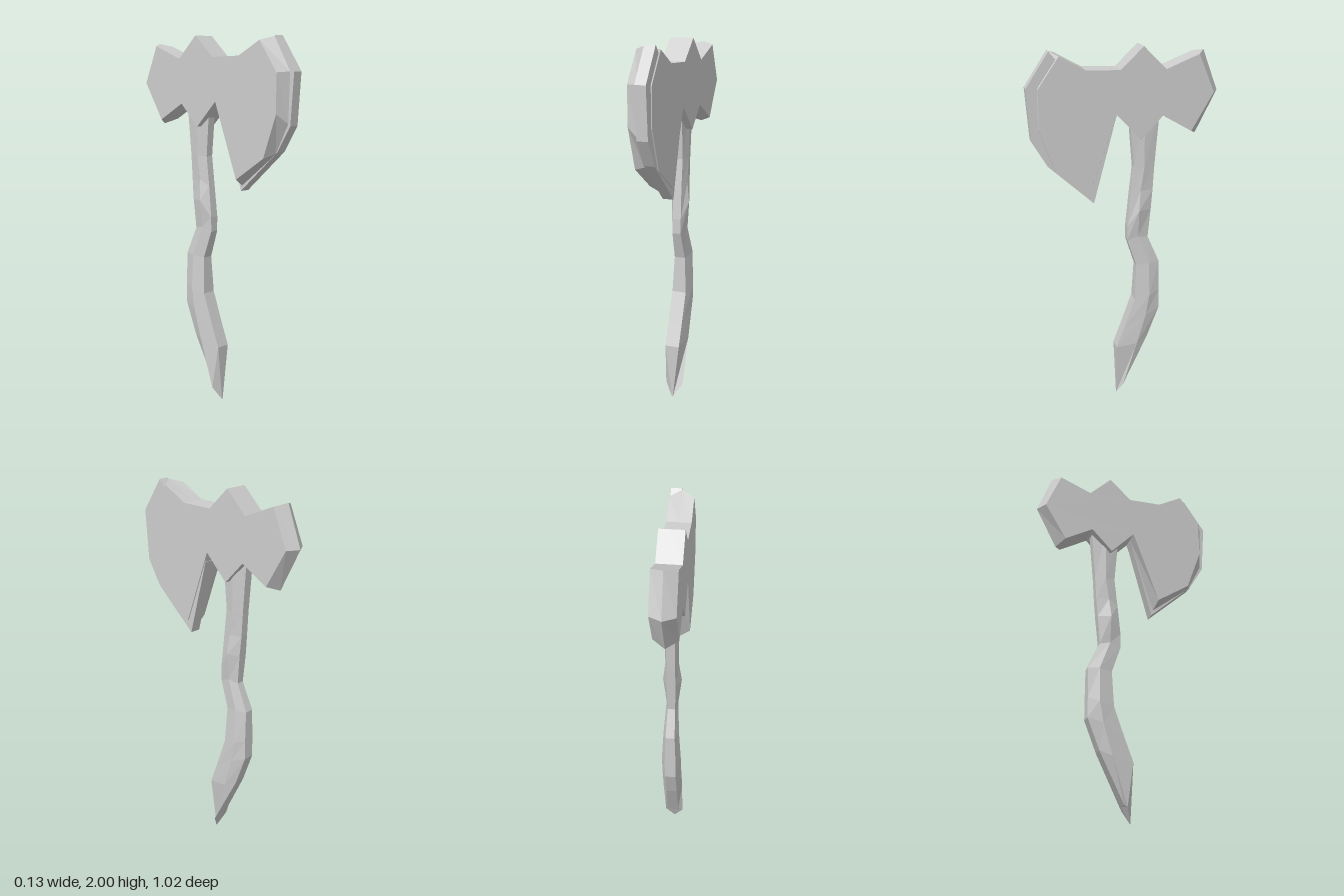
import * as THREE from 'three';

// Faceted solid through matching rings; rings run counter-clockwise about the stacking axis.
// flat(p) projects a ring point to 2D for filling the two ends.
function loft(rings, flat) {
  const pos = [];
  const tri = (a, b, c) => pos.push(...a, ...b, ...c);
  const n = rings[0].length;
  for (let s = 0; s < rings.length - 1; s++) {
    const a = rings[s], b = rings[s + 1];
    for (let i = 0; i < n; i++) {
      const j = (i + 1) % n;
      tri(a[i], a[j], b[j]);
      tri(a[i], b[j], b[i]);
    }
  }
  const cap = (ring, flip) => {
    const pts = ring.map((p) => new THREE.Vector2(...flat(p)));
    for (const [a, b, c] of THREE.ShapeUtils.triangulateShape(pts, [])) {
      if (flip) tri(ring[c], ring[b], ring[a]);
      else tri(ring[a], ring[b], ring[c]);
    }
  };
  cap(rings[0], true);
  cap(rings[rings.length - 1], false);
  const g = new THREE.BufferGeometry();
  g.setAttribute('position', new THREE.Float32BufferAttribute(pos, 3));
  g.computeVertexNormals();
  return g;
}

export function createModel() {
  const group = new THREE.Group();
  const grey = new THREE.MeshStandardMaterial({ color: 0xcccccc, flatShading: true, side: THREE.DoubleSide });
  grey.name = 'light grey';
  const add = (name, geometry) => {
    const mesh = new THREE.Mesh(geometry, grey);
    mesh.name = name;
    group.add(mesh);
  };
  const atX = (x, outline) => outline.map(([z, y]) => [x, y, z]);
  const sideways = (p) => [p[1], p[2]];

  // Axe head: flat cheeks bevelled to a ridge on the centre plane, outlines as [z, y]
  const topEdge = [[-0.215, 1.88], [-0.095, 2], [0.025, 1.885], [0.205, 1.89]];
  const lowEdge = [[0.045, 1.655], [-0.085, 1.52], [-0.2, 1.64]];
  const cheek = [
    ...topEdge, [0.34, 1.965], [0.45, 1.805], [0.45, 1.6], [0.37, 1.375], [0.19, 1.255],
    ...lowEdge, [-0.355, 1.55], [-0.473, 1.75], [-0.39, 1.95],
  ];
  const ridge = [
    ...topEdge, [0.385, 1.985], [0.485, 1.81], [0.477, 1.55], [0.4, 1.395], [0.178, 1.218],
    ...lowEdge, [-0.395, 1.525], [-0.51, 1.75], [-0.43, 1.965],
  ];
  add('axeHead', loft([atX(-0.065, cheek), atX(0, ridge), atX(0.065, cheek)], sideways));

  // Square-edged cutting plate on the left half of the blade
  const plate = [[0.39, 1.99], [0.51, 1.81], [0.49, 1.54], [0.41, 1.405], [0.17, 1.188], [0.06, 1.6]];
  add('cuttingEdge', loft([atX(0, plate), atX(0.06, plate)], sideways));

  // Curved handle: each row is front z, y, half width; then middle; then back
  const rows = [
    [0.04, 0, 0.002, 0.01, 0.075, 0.05, 0.0, 0.09, 0.025],
    [0.045, 0.31, 0.04, -0.07, 0.33, 0.053, -0.135, 0.36, 0.03],
    [0.0, 0.43, 0.04, -0.12, 0.5, 0.053, -0.2, 0.53, 0.03],
    [-0.06, 0.6, 0.04, -0.14, 0.62, 0.053, -0.2, 0.64, 0.03],
    [-0.07, 0.8, 0.03, -0.14, 0.81, 0.042, -0.2, 0.81, 0.025],
    [-0.02, 0.95, 0.024, -0.08, 0.97, 0.032, -0.135, 0.96, 0.02],
    [-0.02, 1.03, 0.025, -0.08, 1.12, 0.05, -0.15, 1.12, 0.025],
    [-0.037, 1.2, 0.022, -0.09, 1.23, 0.036, -0.16, 1.23, 0.022],
    [-0.055, 1.36, 0.022, -0.11, 1.36, 0.036, -0.168, 1.36, 0.022],
    [-0.03, 1.68, 0.025, -0.11, 1.68, 0.04, -0.195, 1.68, 0.025],
  ];
  const rings = rows.map(([fz, fy, fx, mz, my, mx, bz, by, bx]) => [
    [fx, fy, fz], [mx, my, mz], [bx, by, bz],
    [-bx, by, bz], [-mx, my, mz], [-fx, fy, fz],
  ]);
  add('handle', loft(rings, (p) => [p[2], p[0]]));

  return group;
}
